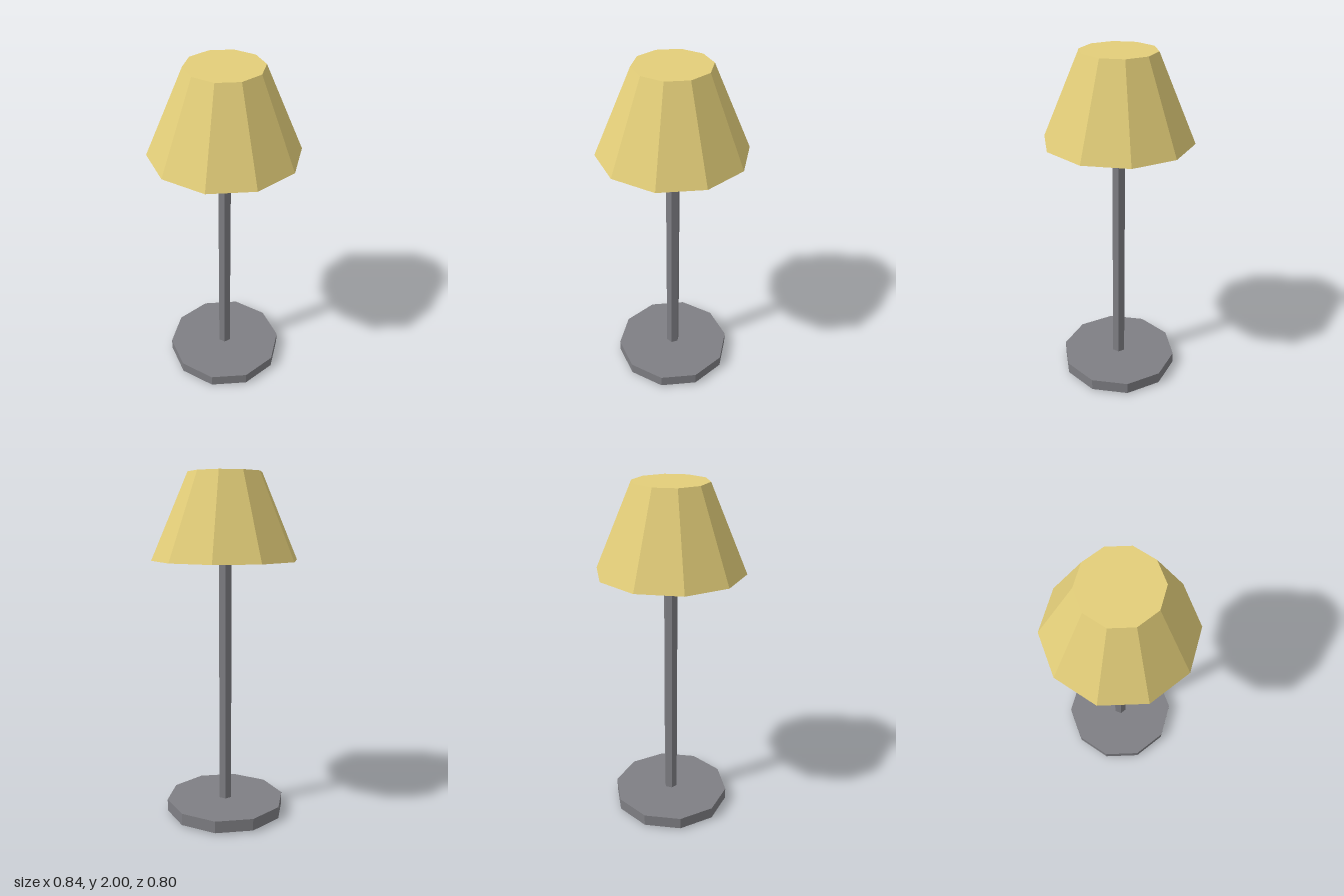
import * as THREE from 'three';

export function createModel() {
  const model = new THREE.Group();
  model.name = 'tableLamp';

  const shadeYellow = new THREE.MeshStandardMaterial({ color: 0xe3ce79, flatShading: true });
  shadeYellow.name = 'shadeYellow';
  const metalGrey = new THREE.MeshStandardMaterial({ color: 0x7f7f84, flatShading: true });
  metalGrey.name = 'metalGrey';

  // Closed prism or frustum with one corner pointing along +x
  function addPrism(name, topRadius, bottomRadius, bottomY, topY, sides, material) {
    const geometry = new THREE.CylinderGeometry(
      topRadius, bottomRadius, topY - bottomY, sides, 1, false, Math.PI / 2);
    const mesh = new THREE.Mesh(geometry, material);
    mesh.name = name;
    mesh.position.y = (bottomY + topY) / 2;
    model.add(mesh);
  }

  addPrism('base', 0.352, 0.352, 0.01, 0.08, 10, metalGrey);
  addPrism('pole', 0.04, 0.04, 0, 1.54, 6, metalGrey);
  addPrism('shade', 0.21, 0.42, 1.513, 2, 10, shadeYellow);

  return model;
}
